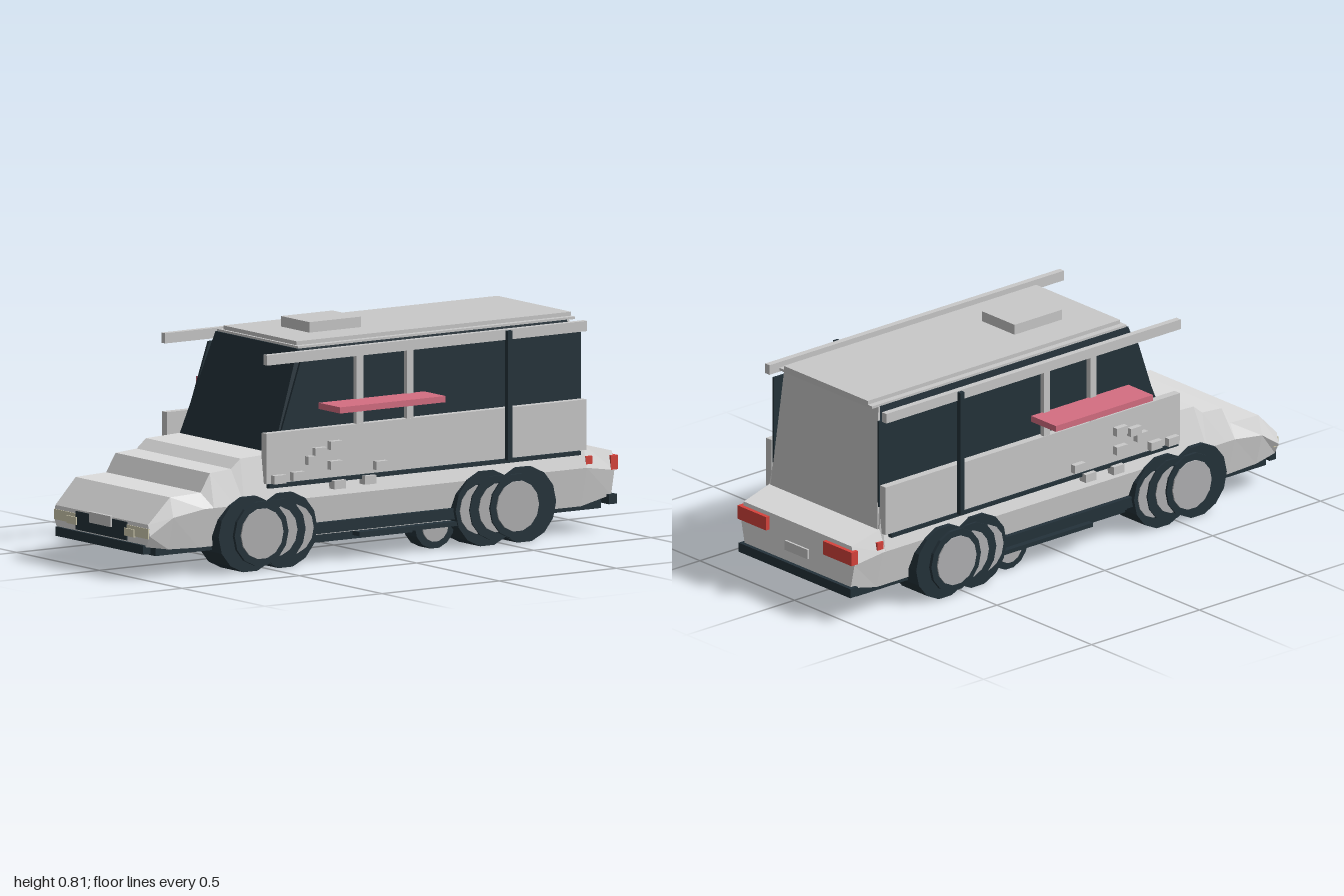
import * as THREE from 'three';

const mat = (name, color, side = THREE.FrontSide) => {
  const m = new THREE.MeshStandardMaterial({ color, flatShading: true, side });
  m.name = name;
  return m;
};

export function createModel() {
  const model = new THREE.Group();
  model.name = 'van';
  const body = mat('body grey', 0xdedede);
  const panel = mat('panel grey', 0xc9c9c9);
  const dark = mat('dark slate', 0x24323a);
  const hubGrey = mat('hub grey', 0xb0b0b2);
  const pink = mat('pink', 0xd56e82);
  const red = mat('red', 0xd8433c);
  const cream = mat('cream', 0xd2cdb2);

  const add = (name, geo, material) => {
    const mesh = new THREE.Mesh(geo, material);
    mesh.name = name;
    model.add(mesh);
    return mesh;
  };
  // Box from its lower and upper limits
  const box = (name, m, x0, x1, y0, y1, z0, z1) =>
    add(name, new THREE.BoxGeometry(x1 - x0, y1 - y0, z1 - z0), m)
      .position.set((x0 + x1) / 2, (y0 + y1) / 2, (z0 + z1) / 2);
  // The same box on both sides
  const pair = (name, m, x0, x1, ...rest) => {
    box(name + 'Left', m, x0, x1, ...rest);
    box(name + 'Right', m, -x1, -x0, ...rest);
  };
  // Skin over rings that run front to back, each counterclockwise seen from the front
  const loft = (rings) => {
    const p = [], n = rings[0].length;
    const tri = (...pts) => pts.forEach((v) => p.push(...v));
    for (let i = 0; i < rings.length - 1; i++) {
      for (let j = 0; j < n; j++) {
        const k = (j + 1) % n, r = rings[i], s = rings[i + 1];
        tri(r[j], s[j], r[k]);
        tri(r[k], s[j], s[k]);
      }
    }
    const f = rings[0], b = rings[rings.length - 1];
    for (let j = 1; j < n - 1; j++) {
      tri(f[0], f[j], f[j + 1]);
      tri(b[0], b[j + 1], b[j]);
    }
    const g = new THREE.BufferGeometry();
    g.setAttribute('position', new THREE.Float32BufferAttribute(p, 3));
    g.computeVertexNormals();
    return g;
  };
  // Mirrored ring from its left half, bottom to top
  const ring = (half) => [...half, ...half.slice().reverse().map(([x, y, z]) => [-x, y, z])];

  // Lower body: z, bottom y, middle y, top y, bottom, middle and top half widths
  const stations = [
    [0.99, 0.12, 0.16, 0.2, 0.27, 0.29, 0.28],
    [0.9, 0.105, 0.22, 0.29, 0.275, 0.305, 0.285],
    [0.77, 0.1, 0.24, 0.295, 0.275, 0.31, 0.285],
    [0.73, 0.1, 0.24, 0.36, 0.275, 0.31, 0.285],
    [0.64, 0.1, 0.24, 0.367, 0.275, 0.31, 0.285],
    [0.6, 0.1, 0.24, 0.4, 0.275, 0.31, 0.285],
    [0.46, 0.1, 0.24, 0.406, 0.275, 0.31, 0.285],
    [-0.85, 0.1, 0.24, 0.4, 0.275, 0.31, 0.285],
    [-0.86, 0.1, 0.24, 0.32, 0.275, 0.31, 0.29],
    [-0.985, 0.13, 0.22, 0.287, 0.28, 0.3, 0.285],
  ];
  add('lowerBody', loft(stations.map(([z, yb, ym, yt, wb, wm, wt]) =>
    ring([[wb, yb, z], [wm, ym, z], [wt, yt, z]]))), body);

  // Cabin glass, tapering upward, with upright side windows and a pale rear panel
  const cabin = (zb, zt, y0 = 0.4) => ring([[0.283, y0, zb], [0.248, 0.758, zt]]);
  add('cabinGlass', loft([cabin(0.46, 0.33), cabin(-0.855, -0.82)]), dark);
  add('rearPanel', loft([cabin(-0.855, -0.82, 0.31), cabin(-0.864, -0.829, 0.31)]), panel);
  const win = new THREE.Shape([[-0.45, 0.4], [-0.34, 0.72], [0.855, 0.72], [0.855, 0.4]]
    .map(([a, b]) => new THREE.Vector2(a, b)));
  const winGeo = new THREE.ExtrudeGeometry(win, { depth: 0.009, bevelEnabled: false }).rotateY(Math.PI / 2);
  add('sideWindowLeft', winGeo, dark).position.x = 0.273;
  add('sideWindowRight', winGeo, dark).position.x = -0.282;

  // Roof, hatch and side rails
  box('roofEdge', panel, -0.245, 0.245, 0.757, 0.766, -0.855, 0.325);
  box('roofSlab', panel, -0.222, 0.222, 0.766, 0.78, -0.855, 0.315);
  box('roofHatch', panel, -0.086, 0.086, 0.78, 0.817, -0.055, 0.165);
  pair('roofRail', panel, 0.297, 0.32, 0.724, 0.76, -0.855, 0.51);

  // Side panels, trim, pillars and folding shelves
  pair('sidePanel', panel, 0.287, 0.316, 0.305, 0.483, -0.855, 0.51);
  pair('sideTrim', dark, 0.3, 0.319, 0.289, 0.303, -0.83, 0.5);
  for (const z of [0.11, -0.105]) pair('windowPillar', panel, 0.295, 0.314, 0.48, 0.73, z - 0.014, z + 0.014);
  pair('darkPillar', dark, 0.318, 0.336, 0.3, 0.757, -0.526, -0.506);
  pair('sideShelf', pink, 0.305, 0.435, 0.549, 0.571, -0.17, 0.28);

  // Scattered small blocks on the sides
  const blocks = [[0.465, 0.32], [0.385, 0.325], [0.32, 0.375], [0.29, 0.402], [0.225, 0.42],
    [0.225, 0.35], [0.21, 0.28], [0.08, 0.285], [0.03, 0.332]];
  for (const [z, y] of blocks) pair('sideBlock', panel, 0.3, 0.337, y - 0.015, y + 0.015, z - 0.025, z + 0.025);

  // Underside, sills and bumpers
  box('floor', dark, -0.268, 0.268, 0.085, 0.115, -0.95, 0.95);
  box('chassis', dark, -0.25, 0.25, 0.068, 0.09, -0.45, 0.45);
  pair('sill', dark, 0.26, 0.305, 0.108, 0.146, -0.32, 0.32);
  pair('runningBoard', dark, 0.26, 0.312, 0.085, 0.1, -0.35, 0.11);
  box('frontBumper', dark, -0.265, 0.265, 0.094, 0.126, 0.97, 1);
  box('rearBumper', dark, -0.295, 0.295, 0.1, 0.134, -1, -0.965);

  // Front and rear fittings
  box('grille', dark, -0.155, 0.155, 0.13, 0.195, 0.97, 0.993);
  box('frontPlate', panel, -0.065, 0.065, 0.166, 0.204, 0.97, 0.999);
  pair('headlight', cream, 0.155, 0.285, 0.15, 0.186, 0.97, 0.993);
  pair('frontLamp', cream, 0.145, 0.203, 0.147, 0.174, 0.97, 0.998);
  pair('tailLight', red, 0.15, 0.302, 0.222, 0.272, -1, -0.97);
  pair('sideMarker', red, 0.28, 0.308, 0.252, 0.28, -0.885, -0.858);
  box('rearPlate', panel, -0.06, 0.06, 0.175, 0.21, -0.993, -0.97);

  // Wheel clusters: z, radius, inner and outer x, material
  const discs = [
    ['tyre', 0.43, 0.135, 0.19, 0.318, dark], ['hub', 0.4, 0.088, 0.3, 0.321, hubGrey],
    ['tyre', 0.585, 0.135, 0.19, 0.324, dark], ['tyreRing', 0.465, 0.115, 0.3, 0.326, dark],
    ['hub', 0.475, 0.088, 0.3, 0.329, hubGrey], ['tyreRing', 0.545, 0.115, 0.3, 0.336, dark],
    ['hub', 0.545, 0.09, 0.3, 0.341, hubGrey],
  ];
  const disc = (name, x0, x1, y, z, r, m) => {
    const geo = new THREE.CylinderGeometry(r, r, x1 - x0, 14).rotateZ(Math.PI / 2);
    for (const s of [1, -1]) add(name, geo, m).position.set(s * (x0 + x1) / 2, y, z);
  };
  for (const end of [1, -1]) {
    for (const [name, z, r, x0, x1, m] of discs) disc(name, x0, x1, 0.137, end * z, r, m);
  }
  // Small support wheels
  disc('supportTyre', 0.2, 0.27, 0.09, -0.24, 0.085, dark);
  disc('supportHub', 0.24, 0.275, 0.085, -0.24, 0.055, hubGrey);

  return model;
}
